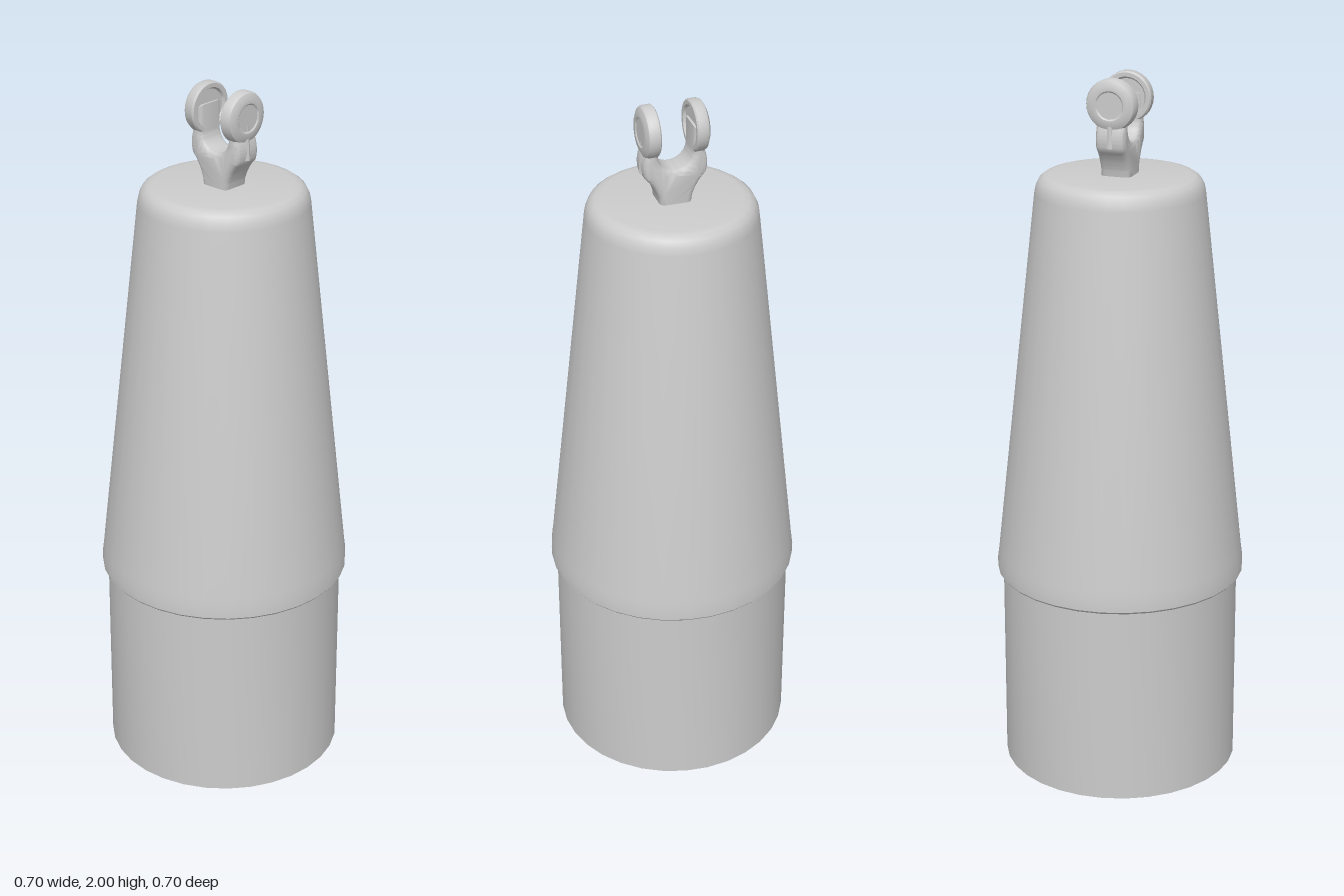
import * as THREE from 'three';
import { toCreasedNormals } from 'three/addons/utils/BufferGeometryUtils.js';

const material = new THREE.MeshStandardMaterial({ color: 0xcccccc });

function part(parent, name, geometry, crease = 0.6) {
  const mesh = new THREE.Mesh(toCreasedNormals(geometry, crease), material);
  mesh.name = name;
  parent.add(mesh);
  return mesh;
}

// Turned solid from [radius, height] pairs, listed bottom to top
function turned(points, sides = 32) {
  return new THREE.LatheGeometry(points.map(([r, h]) => new THREE.Vector2(r, h)), sides);
}

// Forked yoke: a narrow neck that splits into two arms around a U-shaped gap
function yokeGeometry() {
  const bevel = 0.014;
  const shape = new THREE.Shape();
  shape.moveTo(-0.028, 1.72);
  shape.lineTo(0.028, 1.72);
  shape.lineTo(0.032, 1.75);
  shape.quadraticCurveTo(0.045, 1.79, 0.07, 1.815);
  shape.quadraticCurveTo(0.078, 1.84, 0.066, 1.87);
  shape.lineTo(0.066, 1.93);
  shape.lineTo(0.062, 1.93);
  shape.lineTo(0.062, 1.872);
  shape.absarc(0, 1.872, 0.062, 0, Math.PI, true);
  shape.lineTo(-0.062, 1.93);
  shape.lineTo(-0.066, 1.93);
  shape.lineTo(-0.066, 1.87);
  shape.quadraticCurveTo(-0.078, 1.84, -0.07, 1.815);
  shape.quadraticCurveTo(-0.045, 1.79, -0.032, 1.75);
  const depth = 0.084 - 2 * bevel;
  const geometry = new THREE.ExtrudeGeometry(shape, {
    depth, bevelEnabled: true, bevelSize: bevel, bevelThickness: bevel,
    bevelSegments: 3, curveSegments: 12,
  });
  return geometry.translate(0, 0, -depth / 2).rotateY(-Math.PI / 2);
}

export function createModel() {
  const model = new THREE.Group();
  model.name = 'taperedWeight';

  // Straight lower cylinder
  part(model, 'base', turned([[0, 0], [0.336, 0], [0.336, 0.6], [0, 0.6]]));

  // Tapered cover with a lip below and a rounded shoulder above
  part(model, 'taperedCover', turned([
    [0.33, 0.578], [0.347, 0.578], [0.352, 0.584], [0.352, 0.61], [0.348, 0.64],
    [0.234, 1.68], [0.23, 1.70], [0.221, 1.717], [0.207, 1.727], [0.19, 1.73], [0, 1.73],
  ]));

  // Fork on top
  part(model, 'yoke', yokeGeometry(), 0.8);

  // Matching ear, rib and small eyelet on both sides
  for (const [side, angle] of [['front', 0], ['back', Math.PI]]) {
    const group = new THREE.Group();
    group.name = `${side}Ear`;
    group.rotation.y = angle;
    model.add(group);

    // Disc dished on the inner face and chamfered on the outer one
    const disc = turned([
      [0, 0.055], [0.05, 0.055], [0.055, 0.048], [0.066, 0.048], [0.07, 0.052],
      [0.07, 0.073], [0.066, 0.081], [0.052, 0.088], [0.04, 0.088], [0.036, 0.085], [0, 0.085],
    ]).rotateX(Math.PI / 2);
    part(group, 'earDisc', disc).position.y = 1.93;

    // Rib down the outside of the arm
    const rib = new THREE.CylinderGeometry(0.006, 0.012, 0.1, 8);
    part(group, 'armRib', rib).position.set(0, 1.865, 0.079);

    const eyelet = part(group, 'eyelet', new THREE.TorusGeometry(0.011, 0.004, 6, 16));
    eyelet.position.set(0, 1.777, 0.054);
    eyelet.rotation.x = 0.6;
  }
  return model;
}
